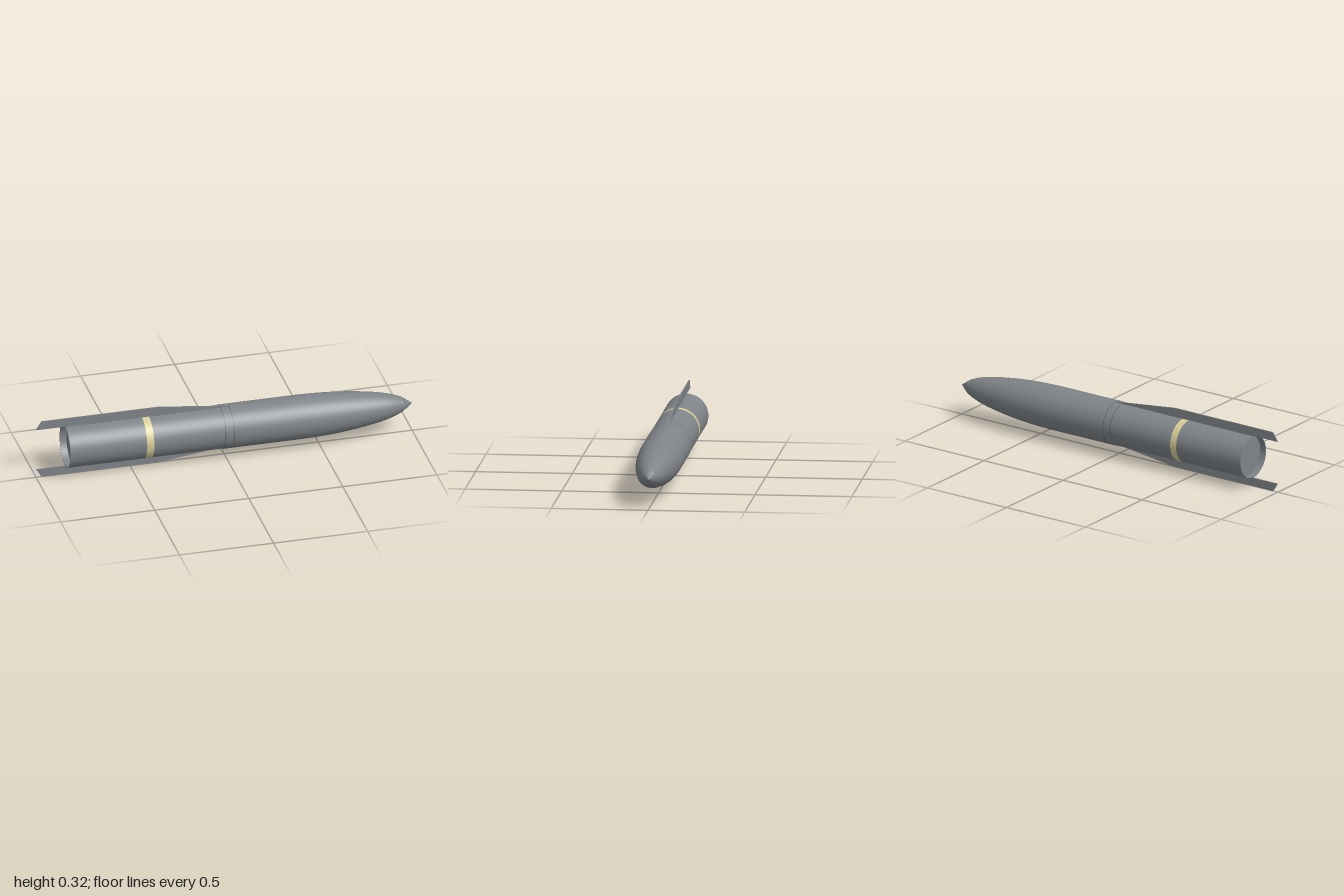
import * as THREE from 'three';

const AXIS_Y = 0.162;
const SEGMENTS = 64;

export function createModel() {
  const model = new THREE.Group();
  const grey = new THREE.MeshStandardMaterial({ color: 0x7f8488, side: THREE.DoubleSide });
  grey.name = 'hull grey';
  const yellow = new THREE.MeshStandardMaterial({ color: 0xd8cd98 });
  yellow.name = 'pale yellow';
  const dark = new THREE.MeshStandardMaterial({ color: 0x55564c });
  dark.name = 'seam grey';

  // Turned part along x, from [x, radius] pairs listed tail to nose
  function turned(name, profile, material) {
    const points = profile.map(([x, r]) => new THREE.Vector2(r, x));
    const geometry = new THREE.LatheGeometry(points, SEGMENTS);
    geometry.rotateZ(-Math.PI / 2);
    const mesh = new THREE.Mesh(geometry, material);
    mesh.name = name;
    mesh.position.y = AXIS_Y;
    model.add(mesh);
  }

  // Straight hull, slightly slimmer behind the joint
  turned('rearBody', [[-0.845, 0.113], [0.03, 0.113]], grey);
  turned('frontBody', [[-0.02, 0.115], [0.4, 0.115]], grey);
  turned('bodyStep', [[-0.02, 0.112], [-0.02, 0.115]], grey);

  // Shallow recessed tail
  turned('tailPlate', [[-0.81, 0], [-0.81, 0.109]], grey);
  turned('tailRecess', [[-0.81, 0.109], [-0.845, 0.109]], grey);
  turned('tailRim', [[-0.845, 0.109], [-0.845, 0.113]], grey);

  // Rounded nose with a conical tip
  const nose = new THREE.SplineCurve([
    [0.4, 0.115], [0.5, 0.1125], [0.6, 0.1065], [0.7, 0.096],
    [0.8, 0.081], [0.88, 0.063], [0.945, 0.039],
  ].map(([x, r]) => new THREE.Vector2(x, r)));
  turned('nose', nose.getPoints(28).map((p) => [p.x, p.y]), grey);
  turned('noseTip', [[0.945, 0.039], [1, 0]], grey);

  // Painted band and the two joint seams
  turned('yellowBand', [[-0.438, 0.1135], [-0.4, 0.1135]], yellow);
  for (const x of [-0.02, 0.025]) {
    turned('jointSeam', [[x - 0.0015, 0.1153], [x + 0.0015, 0.1153]], dark);
  }

  // Long thin strakes above and below, overhanging the tail
  const outline = new THREE.Shape([
    [-1, 0.115], [-0.845, 0.115], [-0.845, 0.108], [0.03, 0.108],
    [0.03, 0.115], [-0.35, 0.161], [-0.97, 0.161],
  ].map(([x, y]) => new THREE.Vector2(x, y)));
  const strake = new THREE.ExtrudeGeometry(outline, { depth: 0.006, bevelEnabled: false });
  strake.translate(0, 0, -0.003);
  for (const [name, turn] of [['upperStrake', 0], ['lowerStrake', Math.PI]]) {
    const mesh = new THREE.Mesh(strake, grey);
    mesh.name = name;
    mesh.position.y = AXIS_Y;
    mesh.rotation.x = turn;
    model.add(mesh);
  }

  return model;
}
